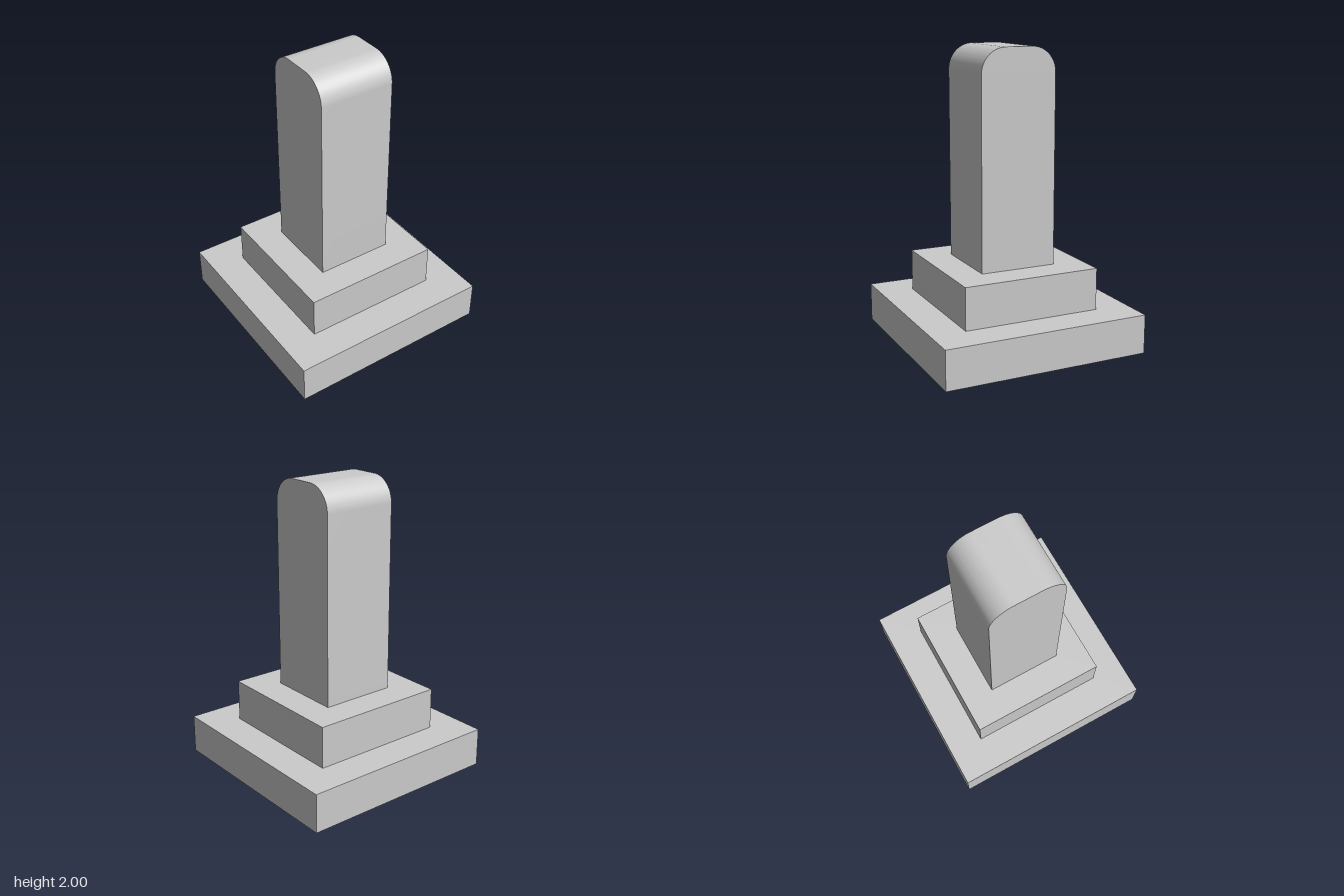
import * as THREE from 'three';
import { toCreasedNormals } from 'three/addons/utils/BufferGeometryUtils.js';

export function createModel() {
  const group = new THREE.Group();
  const material = new THREE.MeshStandardMaterial({ color: 0xcccccc });

  const add = (name, geometry, y) => {
    const mesh = new THREE.Mesh(geometry, material);
    mesh.name = name;
    mesh.position.y = y;
    group.add(mesh);
  };

  // Two square steps
  const step = (name, width, bottom, top) =>
    add(name, new THREE.BoxGeometry(width, top - bottom, width), (bottom + top) / 2);
  step('lowerStep', 1.414, 0, 0.265);
  step('upperStep', 0.946, 0.265, 0.55);

  // Square pillar, its top edges rounded at front and back
  const half = 0.262, bottom = 0.55, height = 2 - bottom, radius = 0.17;
  const profile = new THREE.Shape();
  profile.moveTo(-half, 0);
  profile.lineTo(half, 0);
  profile.lineTo(half, height - radius);
  profile.absarc(half - radius, height - radius, radius, 0, Math.PI / 2);
  profile.lineTo(radius - half, height);
  profile.absarc(radius - half, height - radius, radius, Math.PI / 2, Math.PI);
  profile.closePath();
  const pillar = new THREE.ExtrudeGeometry(profile, {
    depth: 2 * half, bevelEnabled: false, curveSegments: 16,
  });
  pillar.translate(0, 0, -half).rotateY(Math.PI / 2);
  add('pillar', toCreasedNormals(pillar, Math.PI / 6), bottom);

  return group;
}
